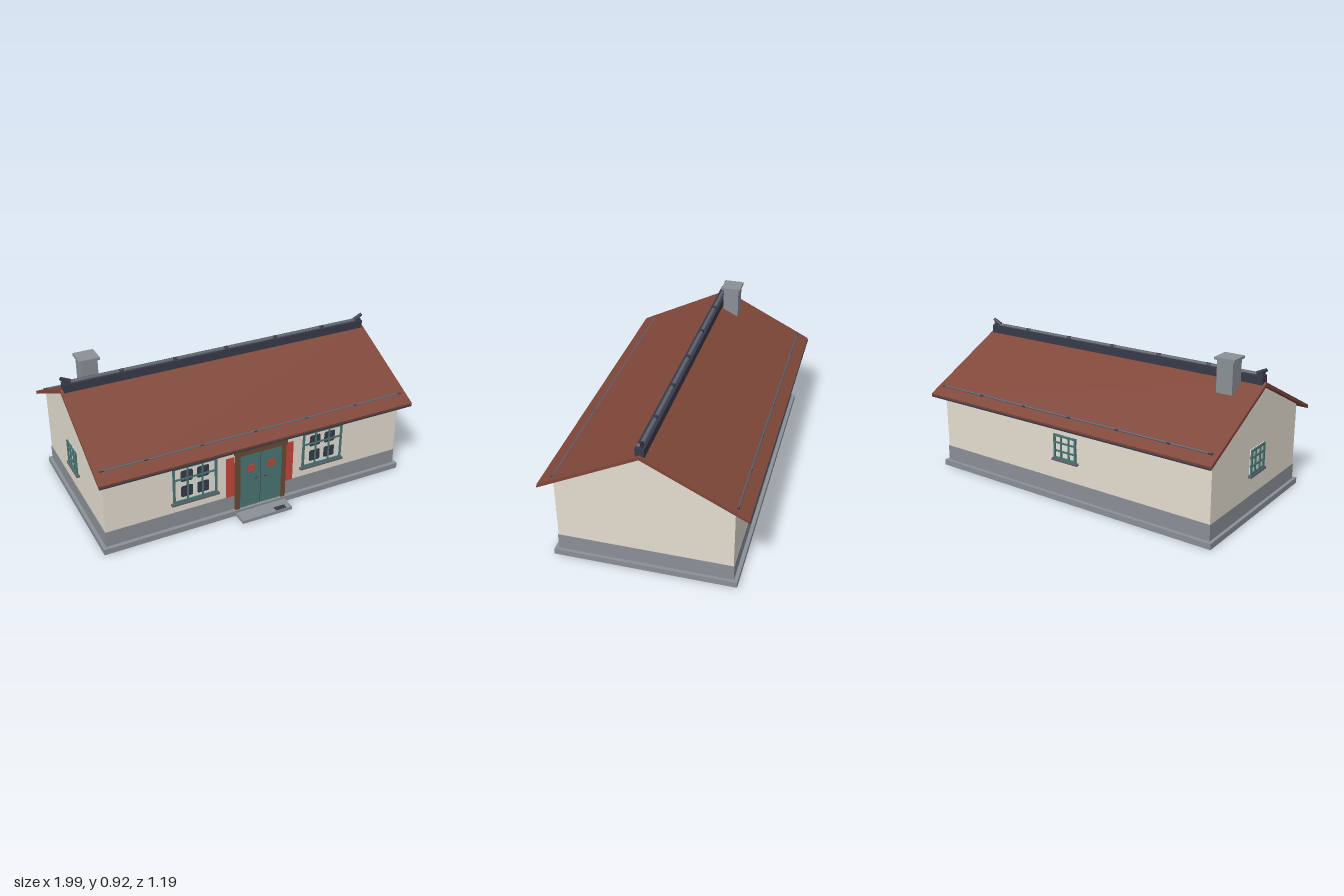
import * as THREE from 'three';

const mat = (name, color) => {
  const m = new THREE.MeshStandardMaterial({ color });
  m.name = name;
  return m;
};

export function createModel() {
  const house = new THREE.Group();
  house.name = 'house';
  const plaster = mat('plaster', 0xe4ddd0);
  const tile = mat('roofTile', 0x80473a);
  const stone = mat('stone', 0x8b9097);
  const slate = mat('darkSlate', 0x383a4a);
  const teal = mat('tealPaint', 0x4a7673);
  const paneMat = mat('paperPane', 0xe2e0d8);
  const red = mat('redPaper', 0xc4463a);
  const wood = mat('brownWood', 0x6b4a32);
  const metal = mat('metal', 0x5f646d);

  const add = (parent, name, geo, material) => {
    const mesh = new THREE.Mesh(geo, material);
    mesh.name = name;
    parent.add(mesh);
    return mesh;
  };
  // Box given by its limits on each axis
  const box = (parent, name, m, x0, x1, y0, y1, z0, z1) => {
    const mesh = add(parent, name, new THREE.BoxGeometry(x1 - x0, y1 - y0, z1 - z0), m);
    mesh.position.set((x0 + x1) / 2, (y0 + y1) / 2, (z0 + z1) / 2);
    return mesh;
  };
  // Profile of [z, y] points extruded along x from -half to half
  const prism = (parent, name, m, pts, half) => {
    const shape = new THREE.Shape(pts.map(([z, y]) => new THREE.Vector2(-z, y)));
    const geo = new THREE.ExtrudeGeometry(shape, { depth: half * 2, bevelEnabled: false });
    geo.translate(0, 0, -half).rotateY(Math.PI / 2);
    return add(parent, name, geo, m);
  };
  // Round rod between two points
  const rod = (parent, name, m, a, b, r0, r1 = r0, sides = 10) => {
    const p = new THREE.Vector3(...a), q = new THREE.Vector3(...b);
    const d = q.clone().sub(p);
    const mesh = add(parent, name, new THREE.CylinderGeometry(r1, r0, d.length(), sides), m);
    mesh.position.copy(p).add(q).multiplyScalar(0.5);
    mesh.quaternion.setFromUnitVectors(new THREE.Vector3(0, 1, 0), d.normalize());
    return mesh;
  };

  // Plinth: floor slab on a thin rim, open underneath
  const ridgeZ = -0.015;
  box(house, 'plinthSlab', stone, -0.977, 0.977, 0.031, 0.035, -0.54, 0.508);
  for (const s of [-1, 1]) box(house, 'plinthSide', stone, s * 0.973 - 0.004, s * 0.973 + 0.004, 0, 0.031, -0.54, 0.508);
  for (const z of [-0.536, 0.504]) box(house, 'plinthEdge', stone, -0.969, 0.969, 0, 0.031, z - 0.004, z + 0.004);

  // Stone band and gabled walls
  box(house, 'stoneBand', stone, -0.958, 0.958, 0.035, 0.13, -0.518, 0.485);
  prism(house, 'walls', plaster, [
    [0.482, 0.13], [0.482, 0.514], [ridgeZ, 0.763], [-0.514, 0.514], [-0.514, 0.13],
  ], 0.955);

  // Roof slab with slim eave trims
  prism(house, 'roof', tile, [
    [0.56, 0.475], [0.563, 0.494], [ridgeZ, 0.783],
    [-0.596, 0.494], [-0.593, 0.475], [ridgeZ, 0.763],
  ], 0.995);
  for (const z of [0.562, -0.595]) box(house, 'eaveTrim', slate, -0.994, 0.994, 0.474, 0.482, z - 0.003, z + 0.003);

  // Ridge beam, capping rod, joints and upturned ends
  const ridge = new THREE.Group();
  ridge.name = 'ridge';
  house.add(ridge);
  box(ridge, 'ridgeBeam', slate, -0.98, 0.98, 0.765, 0.82, -0.041, 0.01);
  rod(ridge, 'ridgeCap', metal, [-0.97, 0.82, ridgeZ], [0.97, 0.82, ridgeZ], 0.012);
  for (let i = 0; i < 5; i++) {
    const x = -0.635 + i * 0.331;
    rod(ridge, 'ridgeJoint', slate, [x - 0.014, 0.82, ridgeZ], [x + 0.014, 0.82, ridgeZ], 0.013);
  }
  for (const s of [-1, 1]) {
    rod(ridge, 'ridgeHorn', slate, [s * 0.935, 0.824, ridgeZ], [s * 0.988, 0.853, ridgeZ], 0.014, 0.01);
    box(ridge, 'ridgeEnd', slate, s * 0.96 - 0.015, s * 0.96 + 0.015, 0.815, 0.833, -0.03, 0);
  }

  // Snow rails half sunk in both slopes
  for (const z of [0.485, -0.525]) {
    rod(house, 'snowRail', metal, [-0.957, 0.532, z], [0.957, 0.532, z], 0.006, 0.006, 8);
    for (const x of [-0.95, -0.7, -0.367, -0.035, 0.297, 0.63, 0.95])
      box(house, 'railBracket', slate, x - 0.012, x + 0.012, 0.507, 0.536, z - 0.006, z + 0.006);
  }

  // Chimney
  box(house, 'chimney', stone, -0.855, -0.757, 0.68, 0.906, -0.147, -0.05);
  box(house, 'chimneyCap', stone, -0.867, -0.745, 0.904, 0.919, -0.158, -0.038);

  // Window facing +z around its own centre, with bars at given fractions of the height
  const makeWindow = (name, w, h, bars, patches) => {
    const g = new THREE.Group();
    g.name = name;
    const x = w / 2, y = h / 2, t = 0.012;
    box(g, 'pane', paneMat, -x, x, -y, y, -0.003, 0.003);
    for (const s of [-1, 1]) {
      box(g, 'frameSide', teal, s * (x - t / 2) - t / 2, s * (x - t / 2) + t / 2, -y, y, 0, 0.012);
      box(g, 'frameRail', teal, -x, x, s * (y - t / 2) - t / 2, s * (y - t / 2) + t / 2, 0, 0.012);
      box(g, 'mullion', teal, s * w * 0.17 - 0.005, s * w * 0.17 + 0.005, -y, y, 0, 0.01);
    }
    for (const b of bars) box(g, 'crossBar', teal, -x, x, h * b - 0.005, h * b + 0.005, 0, 0.01);
    box(g, 'sill', metal, -x - 0.012, x + 0.012, -y - 0.013, -y, -0.003, 0.018);
    // Dark glass with rounded corners
    if (patches) {
      const a = 0.037, r = 0.013, sh = new THREE.Shape();
      sh.moveTo(-a + r, -a).lineTo(a - r, -a).quadraticCurveTo(a, -a, a, -a + r);
      sh.lineTo(a, a - r).quadraticCurveTo(a, a, a - r, a).lineTo(-a + r, a);
      sh.quadraticCurveTo(-a, a, -a, a - r).lineTo(-a, -a + r).quadraticCurveTo(-a, -a, -a + r, -a);
      const geo = new THREE.ShapeGeometry(sh, 4);
      for (const px of [-0.05, 0.05]) for (const py of [-0.051, 0.051])
        add(g, 'darkGlass', geo, slate).position.set(px, py, 0.005);
    }
    house.add(g);
    return g;
  };
  for (const x of [-0.416, 0.415]) makeWindow('frontWindow', 0.27, 0.234, [0.15], true).position.set(x, 0.313, 0.484);
  const back = makeWindow('backWindow', 0.16, 0.15, [0.17, -0.17], false);
  back.position.set(0, 0.335, -0.516);
  back.rotation.y = Math.PI;
  const side = makeWindow('sideWindow', 0.16, 0.15, [0.17, -0.17], false);
  side.position.set(-0.957, 0.335, ridgeZ);
  side.rotation.y = -Math.PI / 2;

  // Double door with wooden frame
  const door = new THREE.Group();
  door.name = 'door';
  house.add(door);
  box(door, 'doorBacking', slate, -0.14, 0.14, 0.035, 0.405, 0.48, 0.489);
  box(door, 'lintel', wood, -0.168, 0.168, 0.402, 0.432, 0.48, 0.508);
  for (const s of [-1, 1]) {
    const mid = (name, m, cx, hw, y0, y1, z0, z1) =>
      box(door, name, m, s * cx - hw, s * cx + hw, y0, y1, z0, z1);
    mid('doorPost', wood, 0.15, 0.014, 0.035, 0.405, 0.48, 0.501);
    mid('doorLeaf', teal, 0.07, 0.067, 0.037, 0.402, 0.485, 0.494);
    mid('leafStrip', teal, 0.108, 0.004, 0.037, 0.402, 0.494, 0.497);
    mid('redSign', red, 0.067, 0.022, 0.276, 0.32, 0.494, 0.498);
    const knob = add(door, 'handle', new THREE.SphereGeometry(0.008, 10, 8), slate);
    knob.position.set(s * 0.03, 0.222, 0.496);
    // Red paper strips beside the door
    mid('redStrip', red, 0.193, 0.026, 0.13, 0.394, 0.481, 0.487);
  }
  box(door, 'redBanner', red, -0.117, 0.117, 0.444, 0.482, 0.481, 0.487);

  // Doorstep with a small dark mat
  box(house, 'doorstep', stone, -0.165, 0.16, 0, 0.02, 0.508, 0.597);
  box(house, 'stepMat', slate, 0.055, 0.125, 0.018, 0.022, 0.56, 0.592);

  return house;
}
